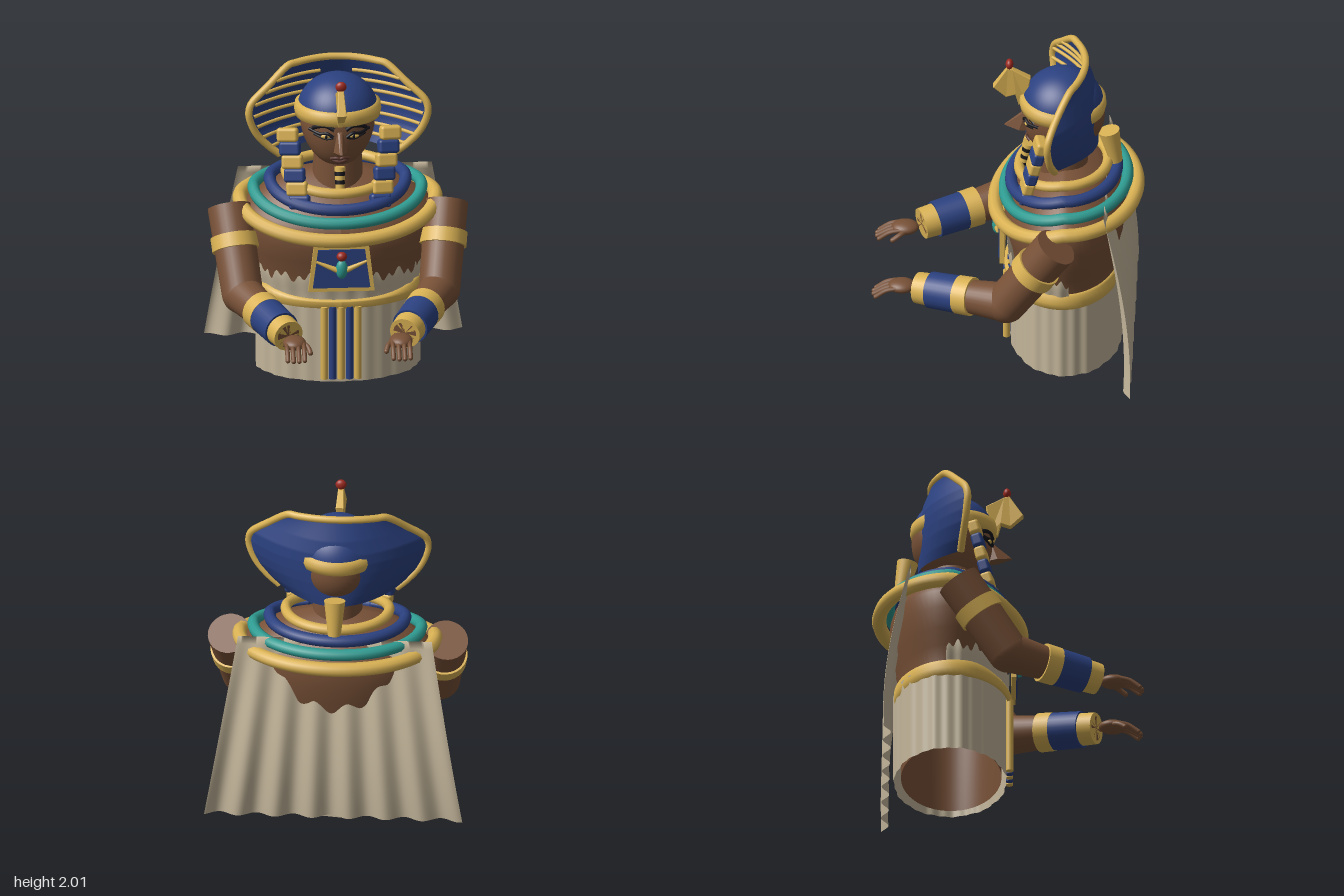
import * as THREE from 'three';
import { ParametricGeometry } from 'three/addons/geometries/ParametricGeometry.js';
import { RoundedBoxGeometry } from 'three/addons/geometries/RoundedBoxGeometry.js';
import { ConvexGeometry } from 'three/addons/geometries/ConvexGeometry.js';

const mat = (name, color, side = THREE.FrontSide) => {
  const m = new THREE.MeshStandardMaterial({ color, side });
  m.name = name;
  return m;
};
const V = (x, y, z) => new THREE.Vector3(x, y, z);
const { lerp, smoothstep } = THREE.MathUtils;

export function createModel() {
  const root = new THREE.Group();
  const gold = mat('gold', 0xdab254), blue = mat('lapis blue', 0x2b4180, THREE.DoubleSide), teal = mat('turquoise', 0x2f9c92);
  const skin = mat('brown skin', 0x785137, THREE.DoubleSide), lips = mat('dark lips', 0x57342a), black = mat('kohl black', 0x16161c);
  const red = mat('carnelian red', 0x9c2a20), linen = mat('linen', 0xc3b59a, THREE.DoubleSide);

  const add = (name, geo, material, pos) => {
    const m = new THREE.Mesh(geo, material);
    m.name = name;
    if (pos) m.position.copy(pos);
    root.add(m);
    return m;
  };
  const ball = (name, material, pos, x, y, z) => {
    const m = add(name, new THREE.SphereGeometry(1, 32, 20), material, pos);
    m.scale.set(x, y, z);
    return m;
  };
  // tapered rod from a to b
  const rod = (name, material, a, b, ra, rb = ra) => {
    const m = add(name, new THREE.CylinderGeometry(rb, ra, a.distanceTo(b), 28), material, a.clone().lerp(b, 0.5));
    m.quaternion.setFromUnitVectors(V(0, 1, 0), b.clone().sub(a).normalize());
    return m;
  };
  const tube = (name, material, pts, r, closed = false, n = 48) =>
    add(name, new THREE.TubeGeometry(new THREE.CatmullRomCurve3(pts, closed), n, r, 10, closed), material);
  const lathe = (pts) => new THREE.LatheGeometry(pts.map(p => new THREE.Vector2(p[0], p[1])), 64);
  // move every vertex by a rule
  const warp = (geo, rule) => {
    const p = geo.attributes.position, v = V(0, 0, 0);
    for (let i = 0; i < p.count; i++) {
      rule(v.fromBufferAttribute(p, i));
      p.setXYZ(i, v.x, v.y, v.z);
    }
    geo.computeVertexNormals();
    return geo;
  };

  // Torso: open oval shell whose chest slopes down towards the front
  const torso = lathe([[0.485, 0.03], [0.485, 0.55], [0.52, 0.7], [0.56, 0.8], [0.585, 0.93],
    [0.59, 1.04], [0.56, 1.1], [0.5, 1.14], [0.42, 1.2], [0.32, 1.25], [0.14, 1.29]]);
  torso.scale(1, 1, 0.64).translate(0, 0, -0.345);
  add('torso', warp(torso, v => {
    v.y -= 0.25 * smoothstep(v.y, 0.75, 1.05) * Math.max(0, v.z + 0.345);
  }), skin);

  // Pleated skirt with a ragged top edge, higher at the front
  add('skirt', new ParametricGeometry((u, v, t) => {
    const a = u * Math.PI * 2, s = Math.sin(a);
    const top = s > -0.08 ? 0.69 + 0.022 * Math.sin(40 * a) + 0.018 * Math.sin(17 * a) : 0.56;
    const y = v * top;
    const r = 1 + 0.008 * Math.sin(26 * a) + 0.008 * Math.sin(11 * a + 1) + 0.06 * smoothstep(y, 0.52, 0.7);
    t.set(0.507 * r * Math.cos(a), y, -0.352 + 0.347 * r * s);
  }, 320, 16), linen);
  const belt = lathe([[0.5, 0.495], [0.525, 0.5], [0.53, 0.54], [0.525, 0.592], [0.5, 0.597]]);
  belt.scale(1, 1, 0.695);
  add('belt', warp(belt, v => {
    if (v.y > 0.55) v.y -= 0.045 * smoothstep(v.z, 0.1, 0.36);
  }), gold, V(0, 0, -0.335));
  for (let i = -2; i <= 2; i++) {
    const x = i * 0.052;
    rod('apronStrip', i % 2 ? blue : gold, V(x, 0.03, 0.015), V(x, 0.51, 0.015), 0.023);
  }

  // Cape with folds that deepen downwards
  add('cape', new ParametricGeometry((u, v, t) => {
    const s = u * 2 - 1;
    const z = -0.6 - 0.152 * Math.sin(v * 1.75);
    t.set(s * lerp(0.6, 0.8, v), lerp(1.21, 0.03, v), z + 0.024 * Math.sqrt(v) * Math.sin(s * 22 + 1));
  }, 120, 24), linen);

  // Collar rings: level at the back, sloping down in front
  const ring = (name, material, rx, zf, zb, yf, yb, r) => {
    const pts = [], zc = (zf + zb) / 2, rz = (zf - zb) / 2;
    for (let i = 0; i < 48; i++) {
      const a = i / 48 * Math.PI * 2, s = Math.sin(a);
      pts.push(V(rx * Math.cos(a), lerp(yb, yf, Math.max(0, s)), zc + rz * s));
    }
    tube(name, material, pts, r, true, 96);
  };
  ring('outerCollar', gold, 0.605, 0.09, -0.79, 0.975, 1.1, 0.045);
  ring('turquoiseCollar', teal, 0.52, 0.03, -0.73, 1.065, 1.17, 0.037);
  ring('blueCollar', blue, 0.42, -0.01, -0.665, 1.14, 1.23, 0.038);
  ring('innerCollar', gold, 0.32, -0.06, -0.61, 1.23, 1.28, 0.033);

  // Chest plate with winged beetle
  const plate = (name, material, wt, wb, y0, y1, z) => {
    const s = new THREE.Shape([[-wb, y0], [wb, y0], [wt, y1], [-wt, y1]].map(p => new THREE.Vector2(...p)));
    return add(name, new THREE.ExtrudeGeometry(s, { depth: 0.03, bevelEnabled: false }), material, V(0, 0, z));
  };
  plate('chestPlateFrame', gold, 0.17, 0.205, 0.625, 0.93, 0.025);
  plate('chestPlate', blue, 0.145, 0.178, 0.652, 0.905, 0.034);
  ball('beetleBody', teal, V(0, 0.78, 0.075), 0.037, 0.062, 0.032);
  ball('sunDisc', red, V(0, 0.865, 0.075), 0.032, 0.03, 0.03);
  for (const s of [-1, 1])
    rod('beetleWing', gold, V(s * 0.03, 0.775, 0.075), V(s * 0.155, 0.83, 0.07), 0.018, 0.008);

  // Arms, bands, cuffs and hands
  for (const s of [-1, 1]) {
    const sh = V(s * 0.672, 1.06, -0.31), el = V(s * 0.61, 0.605, 0), wr = V(s * 0.36, 0.54, 0.555);
    const along = (a, b, t) => a.clone().lerp(b, t);
    rod('upperArm', skin, sh, el, 0.135, 0.128);
    ball('elbow', skin, el, 0.128, 0.128, 0.128);
    rod('forearm', skin, el, wr, 0.125, 0.075);
    rod('armBand', gold, along(sh, el, 0.34), along(sh, el, 0.5), 0.146);
    rod('cuffInner', gold, along(el, wr, 0.38), along(el, wr, 0.54), 0.122, 0.12);
    rod('cuffMiddle', blue, along(el, wr, 0.53), along(el, wr, 0.85), 0.118, 0.114);
    rod('cuffOuter', gold, along(el, wr, 0.84), along(el, wr, 1), 0.102, 0.098);
    ball('palm', skin, V(s * 0.33, 0.535, 0.655), 0.072, 0.04, 0.085);
    for (let i = 0; i < 4; i++) {
      const x = s * (0.275 + i * 0.035), len = i % 3 ? 0.828 : 0.815;
      tube('finger', skin, [V(x, 0.54, 0.69), V(x, 0.525, 0.75), V(x, 0.48, len)], 0.0145, false, 12);
      ball('fingertip', skin, V(x, 0.48, len), 0.0145, 0.0145, 0.0145);
    }
    tube('thumb', skin, [V(s * 0.29, 0.535, 0.64), V(s * 0.25, 0.52, 0.69), V(s * 0.235, 0.495, 0.73)], 0.016, false, 12);
    ball('thumbTip', skin, V(s * 0.235, 0.495, 0.73), 0.016, 0.016, 0.016);
  }

  // Neck and head, narrowing to the chin
  rod('neck', skin, V(0, 1.2, -0.33), V(0, 1.46, -0.33), 0.16, 0.145);
  const headY = 1.61, headH = 0.27;
  const headShift = (t) => 0.05 * t * t;
  add('head', warp(new THREE.SphereGeometry(1, 48, 32), v => {
    const t = Math.max(0, -v.y);
    v.set(v.x * 0.23 * (1 - 0.08 * t), headY + v.y * headH, -0.34 + v.z * 0.25 + headShift(t));
  }), skin);
  const onFace = (x, y, lift = 0.004) => {
    const t = (y - headY) / headH;
    return V(x, y, -0.34 + 0.25 * Math.sqrt(Math.max(0, 1 - t * t - (x / 0.23) ** 2)) + headShift(Math.max(0, -t)) + lift);
  };
  const faceLine = (name, material, pts, r) => tube(name, material, pts.map(p => onFace(...p)), r, false, 20);

  // Nose, lips, eyes and brows
  add('nose', new ConvexGeometry([V(-0.016, 1.63, -0.1), V(0.016, 1.63, -0.1), V(0, 1.615, -0.075), V(-0.008, 1.522, 0.03),
    V(0.008, 1.522, 0.03), V(-0.042, 1.505, -0.06), V(0.042, 1.505, -0.06), V(-0.03, 1.495, -0.12), V(0.03, 1.495, -0.12)]), skin);
  faceLine('upperLip', lips, [[-0.055, 1.437, 0.006], [-0.02, 1.447, 0.014], [0, 1.442, 0.016], [0.02, 1.447, 0.014], [0.055, 1.437, 0.006]], 0.01);
  faceLine('lowerLip', lips, [[-0.045, 1.426, 0.006], [0, 1.417, 0.016], [0.045, 1.426, 0.006]], 0.012);
  for (const s of [-1, 1]) {
    ball('eye', gold, onFace(s * 0.085, 1.595, 0), 0.033, 0.014, 0.013);
    ball('pupil', black, onFace(s * 0.085, 1.595, 0.007), 0.012, 0.013, 0.008);
    faceLine('upperLid', black, [[s * 0.04, 1.592], [s * 0.08, 1.616], [s * 0.12, 1.607], [s * 0.185, 1.618]], 0.01);
    faceLine('lowerLid', black, [[s * 0.04, 1.59], [s * 0.085, 1.578], [s * 0.125, 1.588], [s * 0.16, 1.598]], 0.007);
    faceLine('brow', black, [[s * 0.035, 1.64], [s * 0.08, 1.662], [s * 0.125, 1.655], [s * 0.165, 1.632]], 0.013);
  }

  // Banded false beard
  const beardAt = (i) => V(0, 1.385 - i * 0.026, -0.12 + i * 0.006);
  for (let i = 0; i < 7; i++)
    rod('beardBand', i % 2 ? black : gold, beardAt(i), beardAt(i + 1), 0.034 - i * 0.0015);

  // Skull cap and brow band
  const cap = add('cap', new THREE.SphereGeometry(1, 48, 20, 0, Math.PI * 2, 0, Math.PI / 2), blue, V(0, 1.68, -0.33));
  cap.scale.set(0.252, 0.24, 0.255);
  const band = add('browBand', lathe([[0.235, -0.05], [0.262, -0.04], [0.27, 0], [0.264, 0.04], [0.24, 0.05]]), gold, V(0, 1.7, -0.33));
  band.rotation.x = -0.04;

  // Rearing cobra on the brow, thickest in the middle
  const cobra = new THREE.Shape([[0.095, 1.81], [0.01, 1.94], [-0.02, 1.93], [-0.125, 1.87], [-0.1, 1.7], [-0.06, 1.68],
    [-0.04, 1.76], [0.02, 1.74]].map(p => new THREE.Vector2(-p[0], p[1])));
  const cobraGeo = new THREE.ExtrudeGeometry(cobra, { depth: 0.05, bevelSize: 0.005, bevelThickness: 0.006, bevelSegments: 2 });
  cobraGeo.translate(0, 0, -0.025).rotateY(Math.PI / 2);
  add('browCobra', warp(cobraGeo, v => { v.x *= 1 - 3.6 * Math.abs(v.y - 1.82); }), gold);
  ball('cobraJewel', red, V(0, 1.967, 0), 0.034, 0.033, 0.024);

  // Flared hood: rows of height, half width, rim depth, centre depth
  const rows = [[1.41, 0.36, -0.29, -0.55], [1.47, 0.43, -0.28, -0.55], [1.55, 0.5, -0.265, -0.55], [1.63, 0.54, -0.255, -0.55],
    [1.7, 0.555, -0.25, -0.55], [1.76, 0.54, -0.26, -0.545], [1.86, 0.43, -0.31, -0.52], [1.965, 0.3, -0.385, -0.47]];
  const hoodPoint = (u, y, forward = 0) => {
    let i = 0;
    while (i < rows.length - 2 && y > rows[i + 1][0]) i++;
    const a = rows[i], b = rows[i + 1], k = (y - a[0]) / (b[0] - a[0]);
    const [w, zr, zc] = [1, 2, 3].map(j => lerp(a[j], b[j], k));
    const lift = 0.018 * Math.max(0, (y - 1.86) / 0.105) * (1 - u * u);
    return V(u * w, y + lift, zc + (zr - zc) * u * u + forward);
  };
  add('hood', new ParametricGeometry((u, v, t) => t.copy(hoodPoint(u * 2 - 1, lerp(1.41, 1.965, v))), 40, 32), blue);
  const rim = [];
  for (const r of rows) rim.push(hoodPoint(-1, r[0]));
  for (let i = 1; i < 12; i++) rim.push(hoodPoint(i / 6 - 1, 1.965));
  for (const r of [...rows].reverse()) rim.push(hoodPoint(1, r[0]));
  tube('hoodRim', gold, rim, 0.023, false, 120);
  for (const y of [1.47, 1.535, 1.605, 1.675, 1.75, 1.82, 1.885])
    for (const s of [-1, 1])
      tube('hoodStripe', gold, [0.25, 0.45, 0.65, 0.82, 0.96].map(u => hoodPoint(s * u, y, 0.026)), 0.011, false, 24);

  // Banded lappets hanging over the chest
  for (const s of [-1, 1])
    for (let i = 0; i < 6; i++) {
      const k = i / 5;
      const b = add('lappetBand', new RoundedBoxGeometry(0.132, 0.088, 0.072, 3, 0.02), i % 2 ? blue : gold,
        V(s * lerp(0.318, 0.25, k), lerp(1.575, 1.165, k), lerp(-0.2, -0.1, k)));
      b.rotation.set(-0.25, s * 0.2, 0);
    }

  // Tapered tail behind the neck
  rod('hoodTail', gold, V(0, 1.27, -0.66), V(0, 1.49, -0.615), 0.04, 0.066);
  return root;
}
